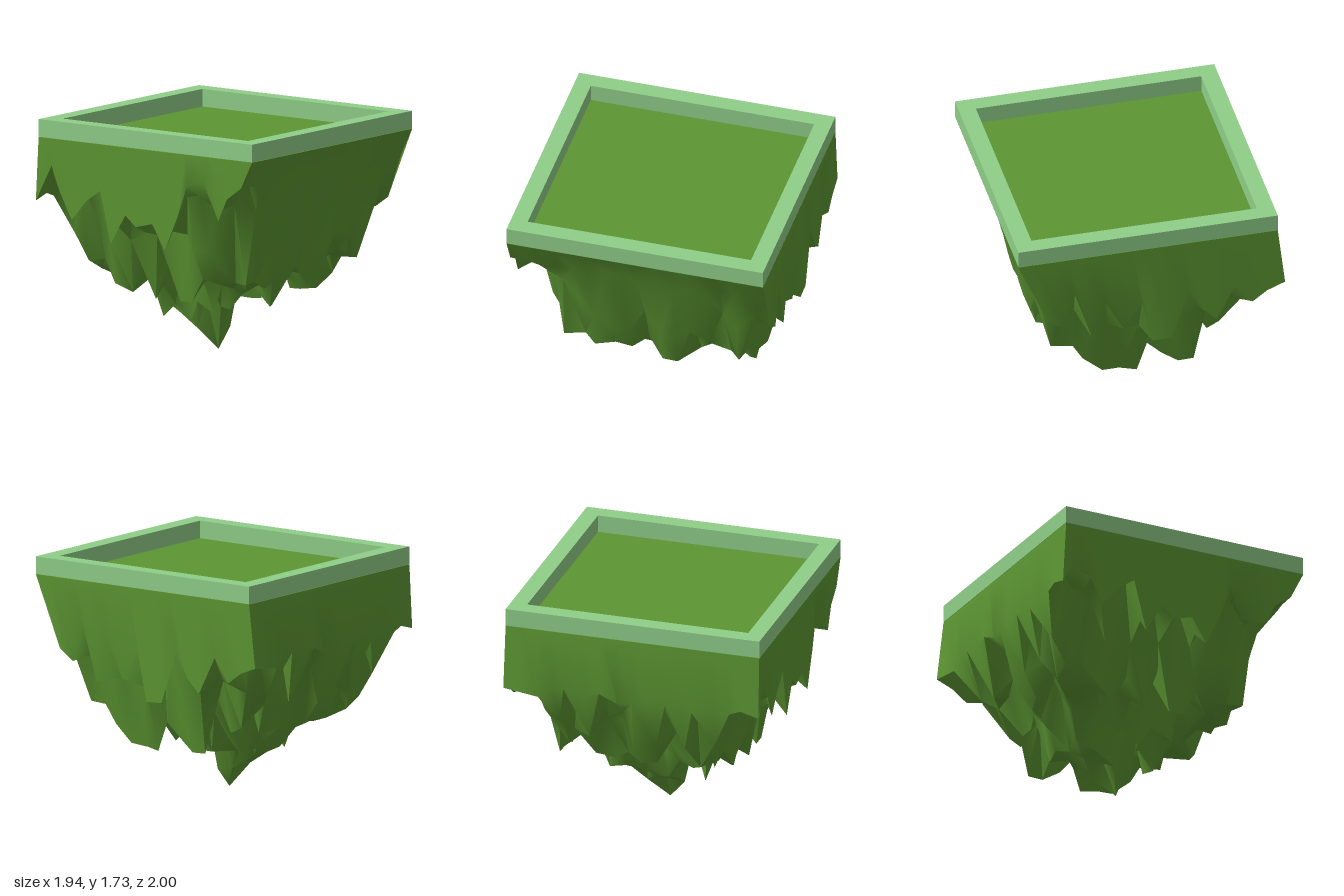
import * as THREE from 'three';
import { toCreasedNormals } from 'three/addons/utils/BufferGeometryUtils.js';

const N = 16;                       // grid cells per side of the rocky underside
const HALF_X = 0.97, HALF_Z = 0.9725, MID_Z = 0.0275, RIM_Y = 1.6;

// Lowest spike in each column (left to right) and each row (front to back)
const columnDepth = [0.85, 0.85, 0.8, 0.44, 0.53, 0.24, 0.5, 0.13, 0, 0.15, 0.33, 0.33, 0.65, 0.5, 0.36, 0.73, 0.77];
const rowDepth = [1.33, 0.66, 0.53, 0.56, 0.46, 0.33, 0.33, 0.34, 0, 0.16, 0.26, 0.32, 0.47, 0.5, 0.45, 0.6, 1.08];

function seeded(seed) {
  return () => {
    seed = (seed * 16807) % 2147483647;
    return seed / 2147483647;
  };
}

// Jagged underside: a square grid pulled down into spikes, joined to a straight rim
function undersideGeometry() {
  const rand = seeded(4127);
  const pos = [], index = [];
  const id = (i, j) => j * (N + 1) + i;

  for (let j = 0; j <= N; j++) {
    for (let i = 0; i <= N; i++) {
      const u = (2 * i) / N - 1, v = (2 * j) / N - 1;
      const edgeX = i === 0 || i === N, edgeZ = j === 0 || j === N;
      const ring = Math.min(i, j, N - i, N - j);
      const jx = (rand() - 0.5) * 0.06, jz = (rand() - 0.5) * 0.06, r = rand();
      const tip = i === N / 2 && j === N / 2;

      let y = Math.max(columnDepth[i], rowDepth[j]);
      if (edgeZ) y += 0.1 * r;
      else if (!tip) y += 0.62 * Math.max(0, r - 0.3) + 0.4 * (u * v) ** 2 + (ring === 1 ? 0.12 : 0);
      if (edgeX && edgeZ) y = j === 0 ? 1.4 : 1.13;

      const x = u * HALF_X + (edgeX || tip ? 0 : jx);
      let z = 0.9 - (j / N) * 1.87 + (edgeZ || tip ? 0 : jz);
      if (j === N) z -= 0.015 * (u + 1);
      pos.push(x, Math.min(y, 1.42), z);
    }
  }
  for (let j = 0; j < N; j++) {
    for (let i = 0; i < N; i++) {
      const a = id(i, j), b = id(i + 1, j), c = id(i, j + 1), d = id(i + 1, j + 1);
      if ((i + j) % 2) index.push(a, c, b, b, c, d);
      else index.push(a, d, b, a, c, d);
    }
  }

  // Side walls between the grid border and the rim
  const border = [];
  for (let k = 0; k < N; k++) border.push([k, 0]);
  for (let k = 0; k < N; k++) border.push([N, k]);
  for (let k = N; k > 0; k--) border.push([k, N]);
  for (let k = N; k > 0; k--) border.push([0, k]);
  const first = pos.length / 3;
  for (const [i, j] of border) {
    pos.push(((2 * i) / N - 1) * HALF_X, RIM_Y, MID_Z + (1 - (2 * j) / N) * HALF_Z);
  }
  border.forEach(([i, j], k) => {
    const n = (k + 1) % border.length;
    const a = id(i, j), b = id(...border[n]);
    index.push(a, b, first + k, b, first + n, first + k);
  });

  const geo = new THREE.BufferGeometry();
  geo.setAttribute('position', new THREE.Float32BufferAttribute(pos, 3));
  geo.setIndex(index);
  return toCreasedNormals(geo, Math.PI / 3);
}

function rectangle(path, hx, hy) {
  path.moveTo(-hx, -hy);
  path.lineTo(hx, -hy);
  path.lineTo(hx, hy);
  path.lineTo(-hx, hy);
  path.closePath();
  return path;
}

export function createModel() {
  const model = new THREE.Group();
  model.name = 'floatingIsland';
  const rockMaterial = new THREE.MeshStandardMaterial({ color: 0x5c9632, side: THREE.DoubleSide });
  const frameMaterial = new THREE.MeshStandardMaterial({ color: 0x8fce88 });

  const underside = new THREE.Mesh(undersideGeometry(), rockMaterial);
  underside.name = 'rockyUnderside';
  model.add(underside);

  // Flat ground inside the frame
  const ground = new THREE.Mesh(new THREE.PlaneGeometry(2 * HALF_X, 2 * HALF_Z), rockMaterial);
  ground.name = 'groundTop';
  ground.rotation.x = -Math.PI / 2;
  ground.position.set(0, RIM_Y, MID_Z);
  model.add(ground);

  // Raised square border
  const outline = rectangle(new THREE.Shape(), HALF_X, HALF_Z);
  outline.holes.push(rectangle(new THREE.Path(), 0.845, 0.845));
  const frame = new THREE.Mesh(
    new THREE.ExtrudeGeometry(outline, { depth: 0.13, bevelEnabled: false }),
    frameMaterial
  );
  frame.name = 'borderFrame';
  frame.rotation.x = -Math.PI / 2;
  frame.position.set(0, RIM_Y + 0.003, MID_Z);
  model.add(frame);

  return model;
}
